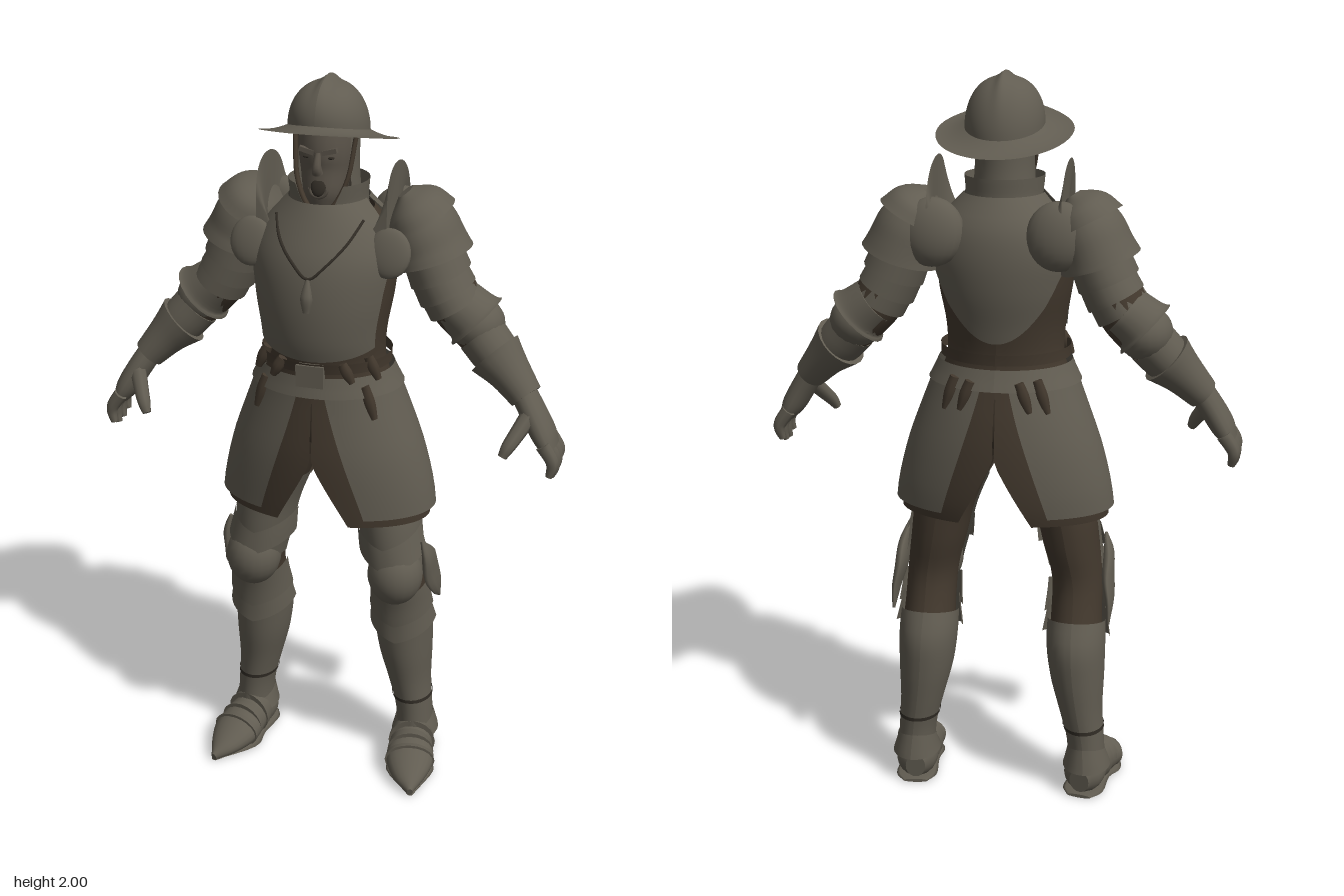
import * as THREE from 'three';

const PI = Math.PI;
const lerp = THREE.MathUtils.lerp;
const val = (f, t) => (typeof f === 'function' ? f(t) : f);
const mat = (name, color) => new THREE.MeshStandardMaterial({ name, color, side: THREE.DoubleSide });

// Smooth lookup through rows of [t, ...values]
function spline(rows) {
  const it = new THREE.CubicInterpolant(rows.map(r => r[0]), rows.flatMap(r => r.slice(1)), rows[0].length - 1);
  return t => Array.from(it.evaluate(t));
}

function build(pos, idx) {
  const g = new THREE.BufferGeometry();
  g.setAttribute('position', new THREE.Float32BufferAttribute(pos, 3));
  g.setIndex(idx);
  g.computeVertexNormals();
  return g;
}

// Open surface from fn(u, v) -> [x, y, z]
function sheet(fn, nu = 24, nv = 8) {
  const pos = [], idx = [], w = nu + 1;
  for (let j = 0; j <= nv; j++) for (let i = 0; i <= nu; i++) pos.push(...fn(i / nu, j / nv));
  for (let j = 0; j < nv; j++) for (let i = 0; i < nu; i++) {
    const a = j * w + i;
    idx.push(a, a + 1, a + w, a + 1, a + w + 1, a + w);
  }
  return build(pos, idx);
}

// Point at angle a (0 = front) around a profile y -> [x, z, rx, rz]
const around = (prof, y, a, off) => {
  const [x, z, rx, rz] = prof(y);
  return [x + (rx + off) * Math.sin(a), y, z + (rz + off) * Math.cos(a)];
};
// Plate following a profile; angles may vary with height, heights with angle
const shell = (prof, a0, a1, y0, y1, off0, off1, nu = 28, nv = 10) => sheet((u, v) =>
  around(prof, lerp(val(y0, u), val(y1, u), v), lerp(val(a0, v), val(a1, v), u), lerp(off0, off1, v)), nu, nv);

// Closed tapering limb through points [x, y, z, ru, rv]
function limb(pts, sides = 16, ref = new THREE.Vector3(0, 0, 1), sub = 4) {
  const f = spline(pts.map((p, i) => [i, ...p])), n = (pts.length - 1) * sub, pos = [], idx = [];
  const at = i => f(i / sub);
  const ring = i => {
    const c = at(i), p = at(Math.max(0, i - 1)), q = at(Math.min(n, i + 1));
    const t = new THREE.Vector3(q[0] - p[0], q[1] - p[1], q[2] - p[2]).normalize();
    const u = new THREE.Vector3().crossVectors(t, ref).normalize(), v = new THREE.Vector3().crossVectors(u, t);
    for (let j = 0; j < sides; j++) {
      const a = j / sides * 2 * PI, cu = Math.cos(a) * c[3], sv = Math.sin(a) * c[4];
      pos.push(c[0] + u.x * cu + v.x * sv, Math.max(0, c[1] + u.y * cu + v.y * sv), c[2] + u.z * cu + v.z * sv);
    }
  };
  for (let i = 0; i <= n; i++) ring(i);
  for (let i = 0; i < n; i++) for (let j = 0; j < sides; j++) {
    const a = i * sides + j, b = i * sides + (j + 1) % sides;
    idx.push(a, a + sides, b, b, a + sides, b + sides);
  }
  for (const end of [0, n]) {
    const s = pos.length / 3;
    ring(end);
    pos.push(...at(end).slice(0, 3));
    for (let j = 0; j < sides; j++) {
      const a = s + j, b = s + (j + 1) % sides;
      idx.push(...(end ? [a, s + sides, b] : [a, b, s + sides]));
    }
  }
  return build(pos, idx);
}

const ball = (x, y, z, rx, ry, rz, tilt = 0) =>
  new THREE.SphereGeometry(1, 20, 14).scale(rx, ry, rz).rotateX(tilt).translate(x, y, z);
const box = (x, y, z, w, h, d, rz = 0) => new THREE.BoxGeometry(w, h, d).rotateZ(rz).translate(x, y, z);

function mirrored(geo) {
  const g = geo.clone().scale(-1, 1, 1), ix = g.index.array;
  for (let i = 0; i < ix.length; i += 3) [ix[i], ix[i + 1]] = [ix[i + 1], ix[i]];
  return g;
}

export function createModel() {
  const root = new THREE.Group();
  const steel = mat('steel', 0x615c51), leather = mat('brownLeather', 0x42382d);
  const skin = mat('skin', 0x5a5349), dark = mat('darkCloth', 0x322d26);
  const add = (name, geo, m) => {
    const mesh = new THREE.Mesh(geo, m);
    mesh.name = name;
    root.add(mesh);
  };
  const pair = (name, geo, m) => { add(name + 'Left', geo, m); add(name + 'Right', mirrored(geo), m); };

  // Trunk profile: y, half width, front z, back z
  const body = spline([
    [0.80, 0.30, 0.165, -0.18], [0.85, 0.297, 0.168, -0.19], [1.0, 0.26, 0.17, -0.19], [1.1, 0.222, 0.16, -0.175],
    [1.18, 0.19, 0.15, -0.155], [1.25, 0.168, 0.148, -0.14], [1.33, 0.17, 0.168, -0.15], [1.45, 0.19, 0.175, -0.175],
    [1.55, 0.195, 0.16, -0.18], [1.62, 0.165, 0.13, -0.165], [1.69, 0.10, 0.095, -0.12]
  ].map(([y, rx, f, b]) => [y, 0, (f + b) / 2, rx, (f - b) / 2]));

  // Torso, breastplate and backplate
  add('paddedJacket', shell(body, -PI, PI, 1.16, 1.66, -0.008, -0.012, 40, 20), leather);
  const side = v => 1.08 + 0.35 * v * v - 0.06 * Math.sin(PI * v);
  add('breastplate', shell(body, v => -side(v), side, u => 1.285 + 0.03 * (2 * u - 1) ** 2, 1.69, 0.006, 0.006, 32, 18), steel);
  add('backplate', shell(body, v => PI - 0.75 - 0.8 * v, v => PI + 0.75 + 0.8 * v,
    u => 1.31 + 0.1 * (2 * u - 1) ** 2, 1.69, 0.006, 0.006, 32, 16), steel);
  add('hips', limb([[0, 0.985, -0.01, 0.03, 0.05], [0, 1.05, -0.01, 0.12, 0.11], [0, 1.2, -0.005, 0.15, 0.12]]), leather);

  // Belts, buckle and hanging tools
  add('waistStrap', shell(body, -PI, PI, 1.25, 1.28, 0.008, 0.01, 40, 2), leather);
  add('belt', shell(body, -PI, PI, 1.185, 1.24, 0.02, 0.012, 40, 3), steel);
  add('buckle', box(0, 1.245, 0.158, 0.075, 0.06, 0.02), steel);
  for (const [a, y, h] of [[0.55, 1.255, 0.05], [0.8, 1.17, 0.09], [1.0, 1.26, 0.06], [2.5, 1.17, 0.09], [2.75, 1.17, 0.08]]) {
    const [x, , z] = around(body, y, a, 0.014);
    pair('beltPouch', limb([[x - 0.014, y + h / 2, z, 0.013, 0.011], [x, y, z, 0.016, 0.014], [x + 0.014, y - h / 2, z, 0.009, 0.009]], 8), leather);
  }

  // Split skirt plates over a cloth underskirt
  const slit = v => 0.18 + 0.32 * (1 - v);
  pair('skirtPlate', shell(body, slit, v => PI - slit(v), 0.838, 1.2, 0.004, 0.014, 32, 10), steel);
  const gap = v => 0.01 + Math.max(0, 0.48 - v) * 0.72;
  pair('underskirt', shell(body, gap, v => PI - gap(v), 0.81, 1.19, -0.012, -0.004, 32, 14), leather);

  // Neck, gorget and pendant
  add('neck', limb([[0, 1.58, -0.03, 0.09, 0.09], [0, 1.68, -0.02, 0.07, 0.07], [0, 1.78, -0.015, 0.06, 0.065]]), dark);
  const collar = spline([[1.58, 0, -0.03, 0.14, 0.13], [1.66, 0, -0.015, 0.1, 0.102], [1.74, 0, -0.01, 0.102, 0.106]]);
  add('gorget', shell(collar, v => 0.05 + 0.6 * v, v => 2 * PI - 0.05 - 0.6 * v, 1.6, 1.735, 0.004, 0.004, 36, 8), steel);
  const cord = [[1.65, -0.9], [1.6, -0.5], [1.55, -0.22], [1.515, 0], [1.55, 0.22], [1.6, 0.5], [1.65, 0.9]]
    .map(([y, a]) => new THREE.Vector3(...around(body, y, a, 0.009)));
  add('pendantCord', new THREE.TubeGeometry(new THREE.CatmullRomCurve3(cord), 36, 0.004, 6), dark);
  add('pendant', limb([[0, 1.515, 0.178, 0.005, 0.005], [0, 1.48, 0.186, 0.014, 0.01], [0, 1.46, 0.188, 0.016, 0.012], [0, 1.43, 0.188, 0.01, 0.008]], 8), steel);

  // Head and face
  add('head', limb([[0, 1.665, 0.05, 0.028, 0.03], [0, 1.70, 0.035, 0.052, 0.058], [0, 1.76, 0.01, 0.066, 0.08],
    [0, 1.82, 0, 0.074, 0.092], [0, 1.89, -0.01, 0.074, 0.09]], 20), skin);
  add('nose', limb([[0, 1.82, 0.088, 0.008, 0.008], [0, 1.785, 0.096, 0.012, 0.014], [0, 1.768, 0.09, 0.015, 0.013]], 8), skin);
  add('mouth', ball(0, 1.732, 0.083, 0.02, 0.026, 0.009, -0.25), dark);
  add('lowerLip', new THREE.TorusGeometry(0.022, 0.006, 6, 16, PI).rotateZ(PI).translate(0, 1.727, 0.084), skin);
  pair('brow', box(0.03, 1.824, 0.084, 0.04, 0.012, 0.014, 0.25), skin);
  pair('eye', ball(0.03, 1.807, 0.08, 0.012, 0.004, 0.005), dark);
  const coif = spline([[1.66, 0, -0.02, 0.085, 0.09], [1.76, 0, -0.01, 0.078, 0.09], [1.87, 0, -0.01, 0.08, 0.096]]);
  add('coif', shell(coif, 1.1, 2 * PI - 1.1, 1.67, 1.87, 0, 0, 30, 8), steel);
  pair('chinStrap', limb([[0.08, 1.85, 0.02, 0.006, 0.012], [0.068, 1.75, 0.05, 0.006, 0.01], [0.035, 1.68, 0.07, 0.006, 0.01], [0, 1.665, 0.078, 0.006, 0.008]], 8), leather);

  // Wide-brimmed helmet, tilted back with a pointed front
  add('hatBrim', sheet((u, v) => {
    const a = u * 2 * PI, c = Math.cos(a), s = Math.sin(a), front = Math.max(0, c);
    const x = lerp(0.18 * (1 - 0.16 * front * front), 0.1, v) * s;
    const z = lerp(-0.006, -0.01, v) + lerp(c > 0 ? 0.196 : 0.204, 0.12, v) * c + 0.016 * front ** 10 * (1 - v);
    return [x, 1.848 + 0.23 * z + 0.02 * v * v, z];
  }, 48, 6), steel);
  add('hatCrown', sheet((u, v) => {
    const a = u * 2 * PI, r = Math.cos(v * PI / 2) ** 0.85;
    const x = 0.104 * r * Math.sin(a), z = -0.01 + 0.124 * r * Math.cos(a);
    const ridge = 0.014 * Math.exp(-((x / 0.014) ** 2)) * v;
    return [x, 1.866 + 0.23 * z * (1 - v) + 0.12 * Math.sin(v * PI / 2) + ridge, z];
  }, 60, 16), steel);

  // Shoulder armour
  pair('pauldron', limb([[0.185, 1.69, -0.066, 0.012, 0.03], [0.205, 1.658, -0.068, 0.064, 0.09], [0.232, 1.61, -0.072, 0.09, 0.115],
    [0.252, 1.56, -0.075, 0.098, 0.122], [0.264, 1.525, -0.075, 0.108, 0.128]], 28), steel);
  pair('pauldronTopPlate', limb([[0.19, 1.695, -0.066, 0.02, 0.04], [0.21, 1.665, -0.068, 0.072, 0.098], [0.232, 1.625, -0.072, 0.096, 0.12]], 28), steel);
  pair('pauldronFlange', sheet((u, v) => {
    const a = u * PI, s = Math.sin(a);
    return [0.115 + 0.055 * s * (1 - v) + 0.06 * v, 1.6 + v * 0.18 * s ** 0.5 + 0.02 * v * Math.cos(a), -0.055 + 0.12 * Math.cos(a)];
  }, 24, 6), steel);
  pair('shoulderBackPlate', ball(0.165, 1.6, -0.145, 0.085, 0.09, 0.05, 0.15), steel);
  pair('armpitDisc', ball(0.185, 1.57, 0.075, 0.058, 0.065, 0.02, -0.25), steel);
  [[0.255, 1.55, 0.286, 1.475], [0.275, 1.49, 0.306, 1.43], [0.295, 1.45, 0.328, 1.395]].forEach(([x0, y0, x1, y1], i) =>
    pair('armLame' + (i + 1), limb([[x0, y0, -0.075, 0.078 - 0.003 * i, 0.1 - 0.006 * i], [x1, y1, -0.077, 0.083 - 0.004 * i, 0.104 - 0.007 * i]], 24), steel));

  // Arms, elbows and gauntlets
  pair('sleeve', limb([[0.24, 1.58, -0.075, 0.07, 0.08], [0.31, 1.43, -0.08, 0.072, 0.085], [0.385, 1.33, -0.085, 0.062, 0.07], [0.53, 1.18, -0.04, 0.036, 0.042]]), leather);
  pair('elbowPlate', ball(0.385, 1.345, -0.09, 0.074, 0.072, 0.082), steel);
  pair('elbowWing', limb([[0.33, 1.40, -0.085, 0.07, 0.085], [0.372, 1.365, -0.085, 0.078, 0.086], [0.385, 1.353, -0.085, 0.09, 0.092]], 20), steel);
  pair('forearmPlate', limb([[0.40, 1.32, -0.08, 0.066, 0.072], [0.45, 1.265, -0.067, 0.062, 0.068], [0.525, 1.185, -0.042, 0.042, 0.048]], 20), steel);
  pair('gauntletCuff', limb([[0.44, 1.275, -0.068, 0.076, 0.078], [0.485, 1.23, -0.055, 0.057, 0.064], [0.535, 1.175, -0.038, 0.044, 0.052]], 20), steel);
  pair('palm', limb([[0.525, 1.19, -0.038, 0.034, 0.044], [0.56, 1.135, -0.025, 0.034, 0.054], [0.59, 1.085, -0.018, 0.032, 0.06], [0.61, 1.05, -0.016, 0.022, 0.058]]), steel);
  [-0.066, -0.032, 0.002, 0.034].forEach((z, i) => {
    const d = 0.012 * Math.abs(i - 1.6);
    pair('finger' + (i + 1), limb([[0.597, 1.07, z, 0.02, 0.017], [0.621, 1.035, z, 0.018, 0.017], [0.625, 0.995 + d, z, 0.015, 0.015], [0.618, 0.968 + d, z + 0.004, 0.009, 0.009]], 8), steel);
  });
  pair('thumb', limb([[0.553, 1.14, 0.005, 0.024, 0.022], [0.53, 1.1, 0.042, 0.021, 0.02], [0.512, 1.07, 0.068, 0.018, 0.018], [0.5, 1.045, 0.08, 0.012, 0.012]], 8), steel);

  // Legs: y, x, z, half width, half depth
  const leg = spline([[0.09, 0.247, -0.07, 0.045, 0.06], [0.16, 0.242, -0.07, 0.045, 0.06], [0.25, 0.228, -0.07, 0.053, 0.07],
    [0.35, 0.216, -0.065, 0.067, 0.085], [0.45, 0.21, -0.058, 0.073, 0.092], [0.53, 0.208, -0.035, 0.07, 0.085],
    [0.62, 0.205, -0.008, 0.07, 0.088], [0.72, 0.187, -0.008, 0.077, 0.1], [0.82, 0.168, -0.01, 0.083, 0.105], [0.97, 0.11, -0.01, 0.09, 0.11]]);
  pair('trouserLeg', shell(leg, -PI, PI, 0.09, 0.97, 0, 0, 28, 30), leather);
  pair('thighPlate', shell(leg, -1.5, 1.75, 0.64, 0.9, 0.008, 0.006, 24, 10), steel);
  pair('greave', shell(leg, -PI, PI, 0.1, u => 0.505 + 0.02 * Math.cos(u * 2 * PI), 0.007, 0.009, 32, 16), steel);
  const chevron = y => u => y - 0.05 * (1 - Math.abs(2 * u - 1));
  pair('kneeLameUpper', shell(leg, -1.5, 1.5, chevron(0.71), chevron(0.78), 0.02, 0.009, 24, 4), steel);
  pair('kneeLameMiddle', shell(leg, -1.6, 1.6, chevron(0.52), chevron(0.61), 0.02, 0.012, 24, 4), steel);
  pair('kneeLameLower', shell(leg, -1.6, 1.6, chevron(0.465), chevron(0.55), 0.022, 0.01, 24, 4), steel);
  pair('kneeCap', ball(0.207, 0.635, 0.04, 0.077, 0.09, 0.08), steel);
  pair('kneeWing', limb([[0.278, 0.74, 0.03, 0.004, 0.004], [0.29, 0.69, 0.01, 0.014, 0.035], [0.293, 0.63, -0.025, 0.016, 0.055],
    [0.302, 0.57, -0.06, 0.01, 0.04], [0.303, 0.515, -0.09, 0.004, 0.004]], 10), steel);
  pair('greaveStrap', shell(leg, -PI, PI, 0.192, 0.203, 0.01, 0.01, 24, 1), dark);

  // Pointed armoured shoes
  const up = new THREE.Vector3(0, 1, 0);
  pair('shoe', limb([[0.236, 0.05, -0.14, 0.028, 0.036], [0.242, 0.055, -0.10, 0.056, 0.055], [0.25, 0.058, -0.02, 0.06, 0.057],
    [0.265, 0.043, 0.06, 0.068, 0.046], [0.28, 0.028, 0.125, 0.045, 0.029], [0.296, 0.014, 0.175, 0.008, 0.012]], 20, up), steel);
  pair('ankleCuff', shell(leg, -PI, PI, 0.075, u => 0.125 + 0.02 * Math.cos(u * 2 * PI), 0.022, 0.008, 24, 4), steel);
  [[0.252, 0.062, -0.01, 0.064], [0.259, 0.054, 0.03, 0.064], [0.266, 0.045, 0.065, 0.069]].forEach(([x, y, z, r], i) =>
    pair('footLame' + (i + 1), limb([[x - 0.008, y + 0.003, z - 0.035, r - 0.004, y], [x, y, z, r + 0.003, y + 0.007]], 20, up), steel));
  pair('sole', limb([[0.236, 0.005, -0.142, 0.035, 0.005], [0.242, 0.006, -0.1, 0.058, 0.006], [0.252, 0.006, -0.01, 0.055, 0.006],
    [0.266, 0.006, 0.06, 0.068, 0.006], [0.297, 0.005, 0.172, 0.008, 0.005]], 12, up), steel);

  return root;
}
